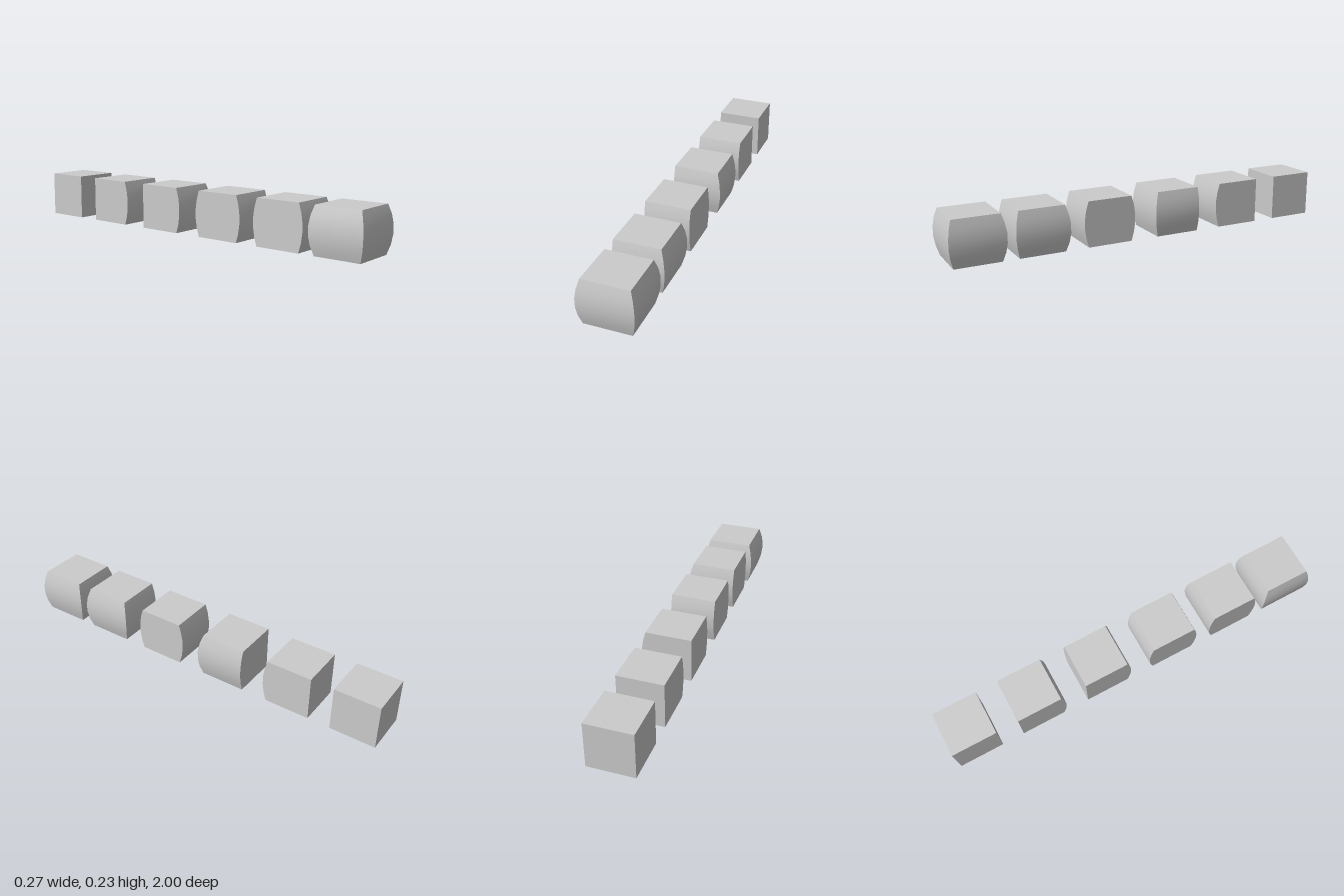
import * as THREE from 'three';

const SIZE = 0.23;   // edge length of the plain cube
const BULGE = 0.0208; // height of the arc on a bulged side

// Cube whose chosen sides swell outward along a vertical arc; neighbours meet in a mitre.
function bulgedBlock({ front = 0, back = 0, left = 0, right = 0 }) {
  const geometry = new THREE.BoxGeometry(SIZE, SIZE, SIZE, 1, 5, 1);
  const p = geometry.attributes.position;
  for (let i = 0; i < p.count; i++) {
    const t = p.getY(i) / (SIZE / 2);
    const swell = BULGE * (1 - t * t);
    const x = p.getX(i), z = p.getZ(i);
    p.setX(i, x > 0 ? x + left * swell : x - right * swell);
    p.setZ(i, z > 0 ? z + front * swell : z - back * swell);
  }
  geometry.computeVertexNormals(); // smooth on each side, sharp at the edges
  return geometry;
}

export function createModel() {
  const group = new THREE.Group();
  group.name = 'bulgedBlockRow';
  const material = new THREE.MeshStandardMaterial({ color: 0xcccccc });

  // From back to front: name, centre z, bulged sides
  const blocks = [
    ['plainBlock', -0.885, {}],
    ['oneSideBlock', -0.54, { front: 1 }],
    ['adjacentSidesBlock', -0.175, { front: 1, left: 1 }],
    ['oppositeSidesBlock', 0.203, { front: 1, back: 1 }],
    ['threeSidesBlock', 0.553, { front: 1, back: 1, left: 1 }],
    ['fourSidesBlock', 0.865, { front: 1, back: 1, left: 1, right: 1 }],
  ];
  for (const [name, z, sides] of blocks) {
    const mesh = new THREE.Mesh(bulgedBlock(sides), material);
    mesh.name = name;
    mesh.position.set(0, SIZE / 2, z);
    group.add(mesh);
  }
  return group;
}
